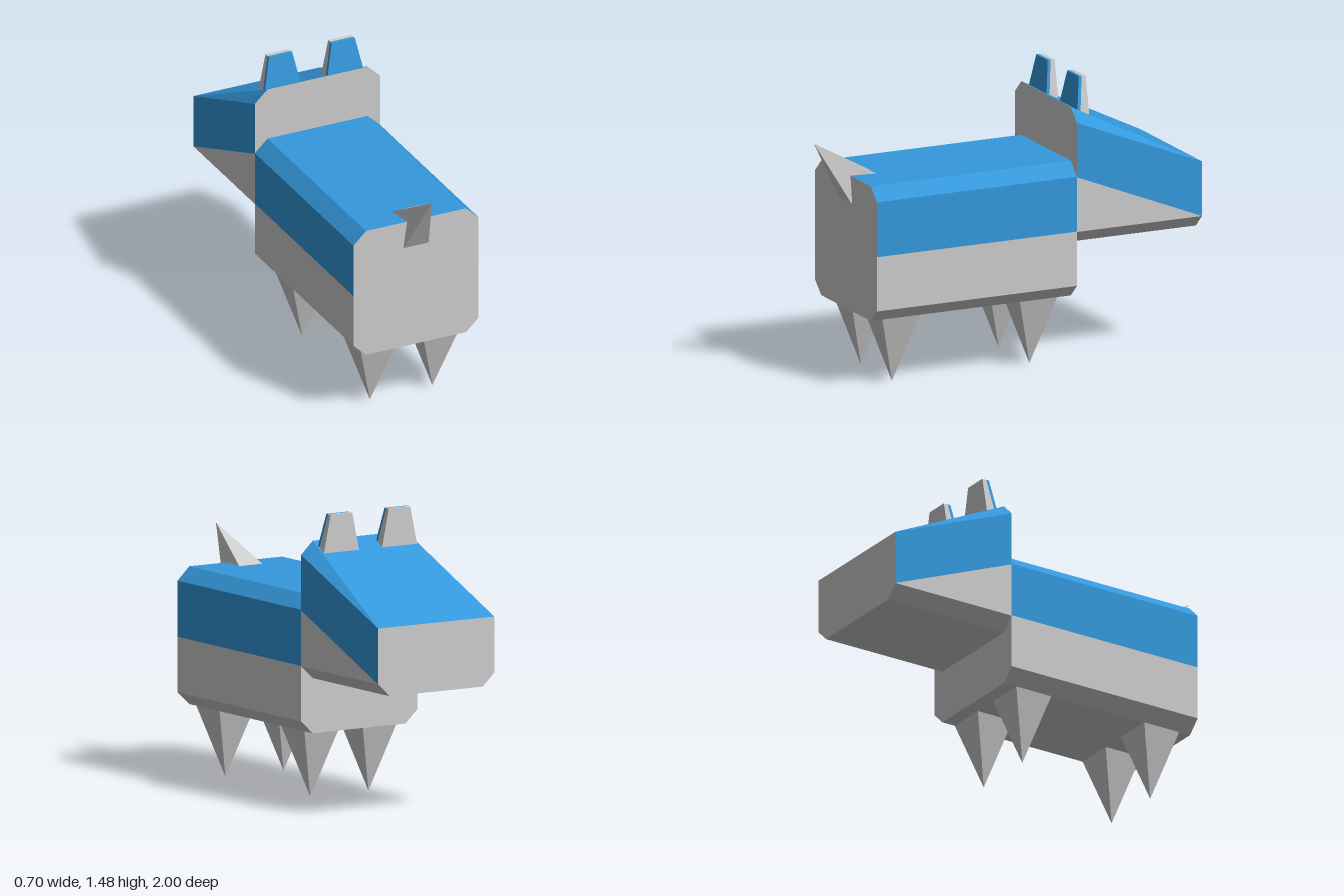
import * as THREE from 'three';

const grey = new THREE.MeshStandardMaterial({ color: 0xcccccc, flatShading: true });
const blue = new THREE.MeshStandardMaterial({ color: 0x3498db, flatShading: true });

// Joins two rings (counter-clockwise seen from +z, front ring first).
// sideMat(i) picks the material of each side; a null cap is left open.
function loft(name, front, back, sideMat, frontCap, backCap) {
  const positions = new Map([[grey, []], [blue, []]]);
  const tri = (mat, a, b, c) => {
    if (new THREE.Triangle(a, b, c).getArea() > 1e-7) {
      for (const p of [a, b, c]) positions.get(mat).push(p.x, p.y, p.z);
    }
  };
  const n = front.length;
  for (let i = 0; i < n; i++) {
    const j = (i + 1) % n;
    tri(sideMat(i), front[i], back[i], back[j]);
    tri(sideMat(i), front[i], back[j], front[j]);
    if (i > 0 && i < n - 1) {
      if (frontCap) tri(frontCap, front[0], front[i], front[j]);
      if (backCap) tri(backCap, back[0], back[j], back[i]);
    }
  }
  const group = new THREE.Group();
  group.name = name;
  for (const [mat, list] of positions) {
    if (!list.length) continue;
    const geo = new THREE.BufferGeometry();
    geo.setAttribute('position', new THREE.Float32BufferAttribute(list, 3));
    geo.computeVertexNormals();
    const mesh = new THREE.Mesh(geo, mat);
    mesh.name = name + (mat === blue ? 'Upper' : 'Lower');
    group.add(mesh);
  }
  return group;
}

// Mirrored section with a chamfered bottom, a colour split and a shoulder
function section(z, bottom, split, shoulder, top, topHalf) {
  const half = [[0.28, bottom], [0.35, bottom + 0.066], [0.35, split], [0.35, shoulder], [topHalf, top]];
  const right = half.map(([x, y]) => new THREE.Vector3(x, y, z));
  const left = half.map(([x, y]) => new THREE.Vector3(-x, y, z)).reverse();
  return [...right, ...left];
}

// Four-sided spike pointing up, with half widths rx and rz
function spike(name, rx, h, rz) {
  const geo = new THREE.ConeGeometry(Math.SQRT2, 1, 4).rotateY(Math.PI / 4).scale(rx, h, rz);
  const mesh = new THREE.Mesh(geo, grey);
  mesh.name = name;
  return mesh;
}

// Tapered ear: blue front layer, grey back layer
function ear(name, cx) {
  const y0 = 1.27, y1 = 1.475;
  const ring = (zBase, zTop) => [
    new THREE.Vector3(cx - 0.108, y0, zBase), new THREE.Vector3(cx + 0.108, y0, zBase),
    new THREE.Vector3(cx + 0.065, y1, zTop), new THREE.Vector3(cx - 0.065, y1, zTop),
  ];
  const front = ring(-0.334, -0.364), middle = ring(-0.352, -0.38), back = ring(-0.403, -0.403);
  const group = new THREE.Group();
  group.name = name;
  group.add(loft('earFront', front, middle, () => blue, blue, null));
  group.add(loft('earBack', middle, back, () => grey, null, grey));
  return group;
}

export function createModel() {
  const model = new THREE.Group();
  model.name = 'animal';
  const upperBlue = (i) => (i >= 2 && i <= 6 ? blue : grey);

  // Body and wedge-shaped head
  model.add(loft('body',
    section(0.82, 0.355, 0.703, 0.988, 1.055, 0.28),
    section(-0.3, 0.355, 0.703, 0.988, 1.055, 0.28), upperBlue, grey, grey));
  model.add(loft('head',
    section(-0.3, 0.635, 0.985, 1.267, 1.333, 0.28),
    section(-1, 0.635, 0.701, 0.985, 0.985, 0.35), upperBlue, grey, grey));

  // Ears and legs
  for (const [side, s] of [['left', 1], ['right', -1]]) {
    model.add(ear(side + 'Ear', s * 0.175));
    for (const [end, z] of [['Front', -0.12], ['Back', 0.65]]) {
      const leg = spike(side + end + 'Leg', 0.105, 0.355, 0.105);
      leg.rotation.x = Math.PI;
      leg.position.set(s * 0.175, 0.1775, z);
      model.add(leg);
    }
  }

  // Tail
  const tail = spike('tail', 0.07, 0.352, 0.1);
  tail.rotation.x = Math.PI / 4;
  tail.position.set(0, 1.106, 0.875);
  model.add(tail);

  return model;
}
